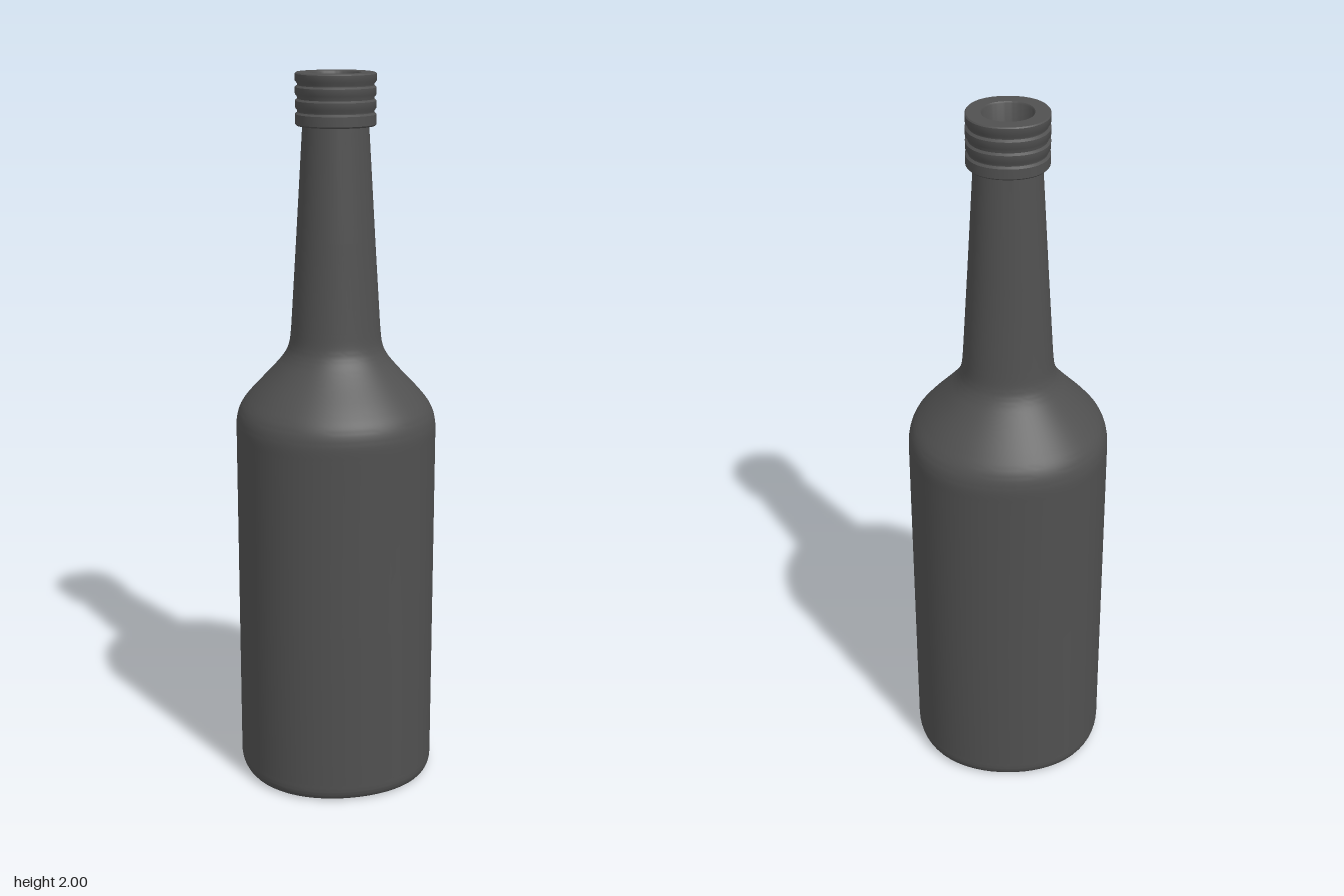
import * as THREE from 'three';
import { toCreasedNormals } from 'three/addons/utils/BufferGeometryUtils.js';

const SEGMENTS = 64;

// Lathe a profile, then swell the diagonals so the section is a slightly squared circle
function turned(name, profile, material, crease) {
  const geometry = new THREE.LatheGeometry(profile, SEGMENTS);
  const pos = geometry.attributes.position;
  for (let i = 0; i < pos.count; i++) {
    const x = pos.getX(i), z = pos.getZ(i);
    const swell = 1 + 0.0145 * (1 - Math.cos(4 * Math.atan2(z, x)));
    pos.setX(i, x * swell);
    pos.setZ(i, z * swell);
  }
  const mesh = new THREE.Mesh(toCreasedNormals(geometry, crease), material);
  mesh.name = name;
  return mesh;
}

const points = list => list.map(([r, y]) => new THREE.Vector2(r, y));

// Smooth curve through a few profile points
const smooth = (list, n) => new THREE.SplineCurve(points(list)).getPoints(n);

export function createModel() {
  const group = new THREE.Group();
  group.name = 'bottle';
  const glass = new THREE.MeshStandardMaterial({ color: 0x505050 });
  glass.name = 'dark grey glass';

  // Hollow underside with a rounded standing rim
  const base = smooth([
    [0, 0.06], [0.12, 0.06], [0.185, 0.055], [0.212, 0.03], [0.232, 0.006],
    [0.25, 0.001], [0.268, 0.006], [0.277, 0.025], [0.278, 0.05],
  ], 40);
  group.add(turned('base', base, glass, 1.0));

  // Straight wall, sloping shoulder and tapered neck
  const shoulder = smooth([
    [0.278, 1.0], [0.277, 1.05], [0.265, 1.09], [0.235, 1.13], [0.175, 1.195],
    [0.143, 1.235], [0.128, 1.27], [0.122, 1.32],
  ], 40);
  const body = [...points([[0.278, 0.05], [0.278, 0.5]]), ...shoulder,
    ...points([[0.107, 1.56], [0.088, 1.88]])];
  group.add(turned('body', body, glass, 1.0));

  // Collar with three ridges, each stepping in on its upper side
  const collar = [[0.086, 1.862], [0.104, 1.862], [0.108, 1.866], [0.108, 1.892]];
  for (const y of [1.897, 1.932, 1.967]) {
    collar.push([0.102, y], [0.102, y + 0.004], [0.108, y + 0.012], [0.108, y + 0.03]);
  }
  // Flat lip and mouth
  collar.push([0.105, 2], [0.068, 2], [0.065, 1.996], [0.064, 1.85], [0, 1.85]);
  group.add(turned('collar', points(collar), glass, 0.7));

  return group;
}
